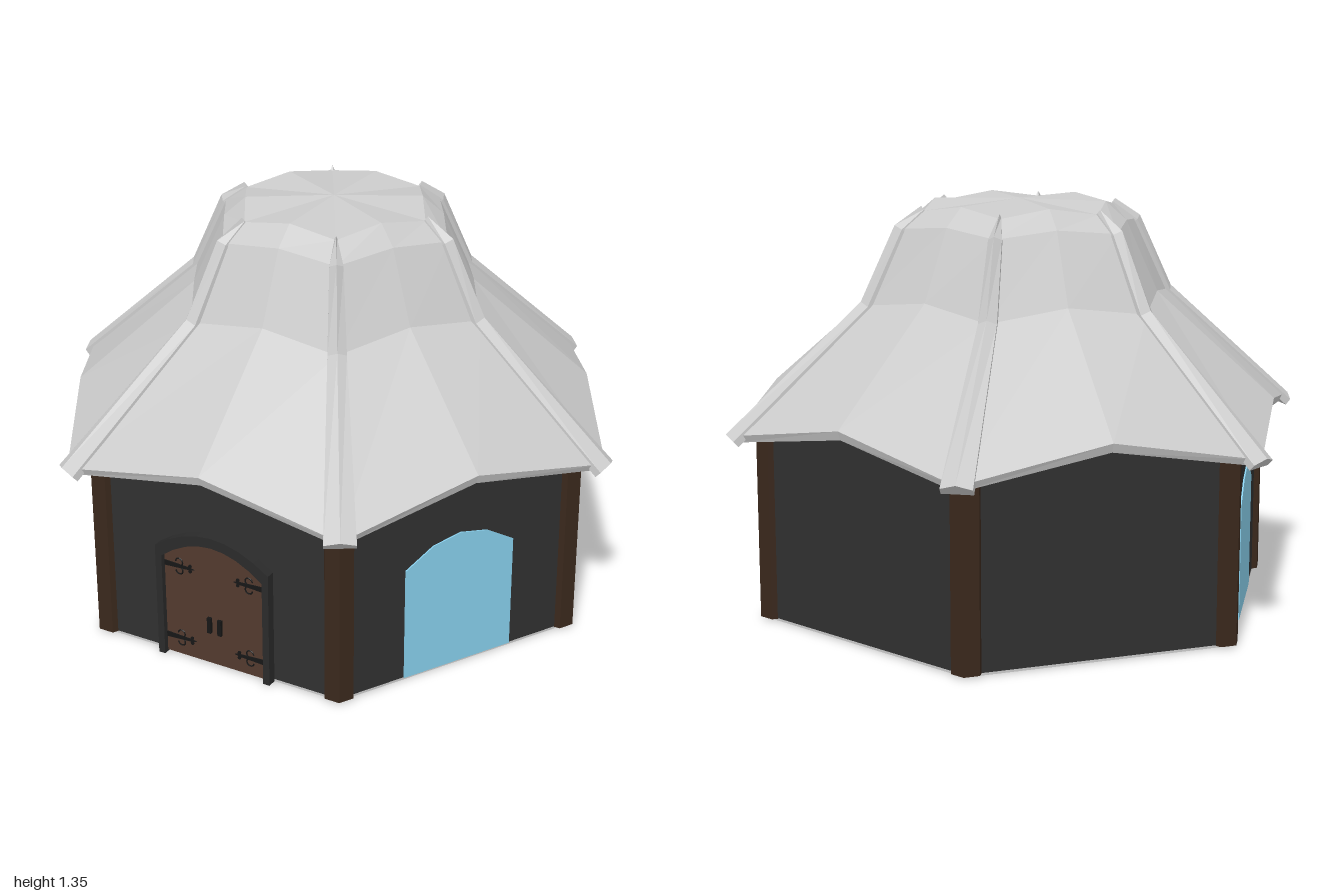
import * as THREE from 'three';

const mat = (color) => new THREE.MeshStandardMaterial({ color, flatShading: true });

// Skin a list of equal-length closed loops of Vector3
function loft(loops) {
  const pos = [];
  const tri = (...p) => {
    if (p[0].distanceTo(p[1]) < 1e-6 || p[1].distanceTo(p[2]) < 1e-6 || p[2].distanceTo(p[0]) < 1e-6) return;
    p.forEach((v) => pos.push(v.x, v.y, v.z));
  };
  for (let i = 0; i < loops.length - 1; i++) {
    const a = loops[i], b = loops[i + 1], n = a.length;
    for (let j = 0; j < n; j++) {
      const k = (j + 1) % n;
      tri(a[j], a[k], b[k]);
      tri(a[j], b[k], b[j]);
    }
  }
  const g = new THREE.BufferGeometry();
  g.setAttribute('position', new THREE.Float32BufferAttribute(pos, 3));
  g.computeVertexNormals();
  return g;
}

// Hexagon with mid-edge points: corner radius, corner height, mid-edge height
function hexLoop([r, yCorner, yMid]) {
  return Array.from({ length: 12 }, (_, j) => {
    const a = (j * Math.PI) / 6, mid = j % 2;
    const d = mid ? r * Math.cos(Math.PI / 6) : r;
    return new THREE.Vector3(d * Math.cos(a), mid ? yMid : yCorner, -d * Math.sin(a));
  });
}

// Raised ridge cap running up one roof corner, tapering to a tip
function ridgeGeometry() {
  // radius, height, half width, crest height
  const path = [[0.985, 0.612, 0.05, 0.02], [0.53, 1.02, 0.03, 0.02], [0.41, 1.265, 0.022, 0.022], [0.33, 1.325, 0.004, 0.014]];
  const loops = path.map(([r, y, w, t], i) => {
    const p = path[Math.max(i - 1, 0)], q = path[Math.min(i + 1, path.length - 1)];
    const n = new THREE.Vector2(q[1] - p[1], p[0] - q[0]).normalize();
    return [[-w, -0.025], [w, -0.025], [w, 0], [0, t], [-w, 0]].map(
      ([u, h]) => new THREE.Vector3(r + n.x * h, y + n.y * h, u));
  });
  const cap = (l) => {
    const c = l.reduce((s, v) => s.add(v), new THREE.Vector3()).divideScalar(l.length);
    return l.map(() => c);
  };
  return loft([cap(loops[0]), ...loops, cap(loops[3])]);
}

// Points of an arched opening standing on y = base
function archPoints(w, spring, top, segs, base = 0) {
  const pts = [new THREE.Vector2(-w, base), new THREE.Vector2(w, base)];
  for (let i = 0; i <= segs; i++) {
    const s = 1 - (2 * i) / segs;
    pts.push(new THREE.Vector2(w * s, spring + (top - spring) * (1 - s * s)));
  }
  return pts;
}

const extrude = (shape, depth) => new THREE.ExtrudeGeometry(shape, { depth, bevelEnabled: false });

export function createModel() {
  const model = new THREE.Group();
  const grey = mat(0xcccccc), wallMat = mat(0x303030), wood = mat(0x3a281c);
  const doorMat = mat(0x533a2e), glass = mat(0x87ceeb), iron = mat(0x161616), frameMat = mat(0x2a2a2a);

  const add = (parent, name, geometry, material, x = 0, y = 0, z = 0) => {
    const m = new THREE.Mesh(geometry, material);
    m.name = name;
    m.position.set(x, y, z);
    parent.add(m);
    return m;
  };

  // Floor slab and walls
  add(model, 'floor', loft([[0, 0, 0], [0.88, 0, 0], [0.88, 0.008, 0.008]].map(hexLoop)), grey);
  add(model, 'walls', loft([[0.88, 0.008, 0.008], [0.88, 0.67, 0.75], [0, 0.75, 0.75]].map(hexLoop)), wallMat);

  // Roof: soffit, eave edge, flared slopes, crown
  add(model, 'roof', loft([
    [0.5, 1.0, 1.03], [0.968, 0.598, 0.68], [0.98, 0.62, 0.71], [0.53, 1.02, 1.055],
    [0.41, 1.265, 1.285], [0.33, 1.32, 1.345], [0, 1.35, 1.35],
  ].map(hexLoop)), grey);

  // Corner posts and roof ridges
  const ridge = ridgeGeometry();
  const post = extrude(new THREE.Shape([
    [0.9, 0], [0.874, 0.045], [0.83, 0.045], [0.83, -0.045], [0.874, -0.045],
  ].map(([x, y]) => new THREE.Vector2(x, y))), 0.645).rotateX(-Math.PI / 2);
  for (let i = 0; i < 6; i++) {
    const corner = new THREE.Group();
    corner.name = 'corner' + (i + 1);
    corner.rotation.y = (i * Math.PI) / 3;
    add(corner, 'post', post, wood, 0, 0.006, 0);
    add(corner, 'roofRidge', ridge, grey);
    model.add(corner);
  }

  // Arched windows on the two front side walls
  const pane = extrude(new THREE.Shape(archPoints(0.202, 0.395, 0.475, 4, 0.008)), 0.012);
  for (const s of [-1, 1]) {
    const side = new THREE.Group();
    side.name = s > 0 ? 'leftWindow' : 'rightWindow';
    side.rotation.y = (s * Math.PI) / 3;
    add(side, 'windowPane', pane, glass, 0, 0, 0.755);
    model.add(side);
  }

  // Door with arched surround
  const door = new THREE.Group();
  door.name = 'door';
  door.position.z = 0.755;
  model.add(door);
  add(door, 'doorPanel', extrude(new THREE.Shape(archPoints(0.187, 0.365, 0.44, 8, 0.006)), 0.02), doorMat);
  const surround = archPoints(0.207, 0.395, 0.472, 8);
  const inner = archPoints(0.184, 0.363, 0.438, 8);
  const outline = [...surround.slice(1), surround[0], inner[0], ...inner.slice(2).reverse(), inner[1]];
  add(door, 'doorFrame', extrude(new THREE.Shape(outline), 0.038), frameMat);

  // Handles and scrolled strap hinges, mirrored
  const strap = extrude(new THREE.Shape([
    [0.183, -0.009], [0.183, 0.009], [0.09, 0.004], [0.072, 0], [0.09, -0.004],
  ].map(([x, y]) => new THREE.Vector2(x, y)).reverse()), 0.005);
  const scroll = new THREE.TorusGeometry(0.013, 0.0025, 5, 10, Math.PI * 1.3);
  const bud = new THREE.CylinderGeometry(0.006, 0.006, 0.006, 8).rotateX(Math.PI / 2);
  for (const s of [-1, 1]) {
    add(door, 'handle', new THREE.BoxGeometry(0.014, 0.055, 0.012), iron, s * 0.019, 0.148, 0.024);
    for (const y of [0.068, 0.332]) {
      const hinge = new THREE.Group();
      hinge.name = 'hinge';
      hinge.position.set(0, y, 0.019);
      hinge.rotation.z = s < 0 ? Math.PI : 0;
      add(hinge, 'strap', strap, iron);
      for (const v of [-1, 1]) {
        add(hinge, 'scroll', scroll, iron, 0.128, v * 0.015, 0.003).rotation.z = v > 0 ? 0 : Math.PI * 0.7;
        add(hinge, 'bud', bud, iron, 0.088, v * 0.009, 0.002);
      }
      door.add(hinge);
    }
  }
  return model;
}
